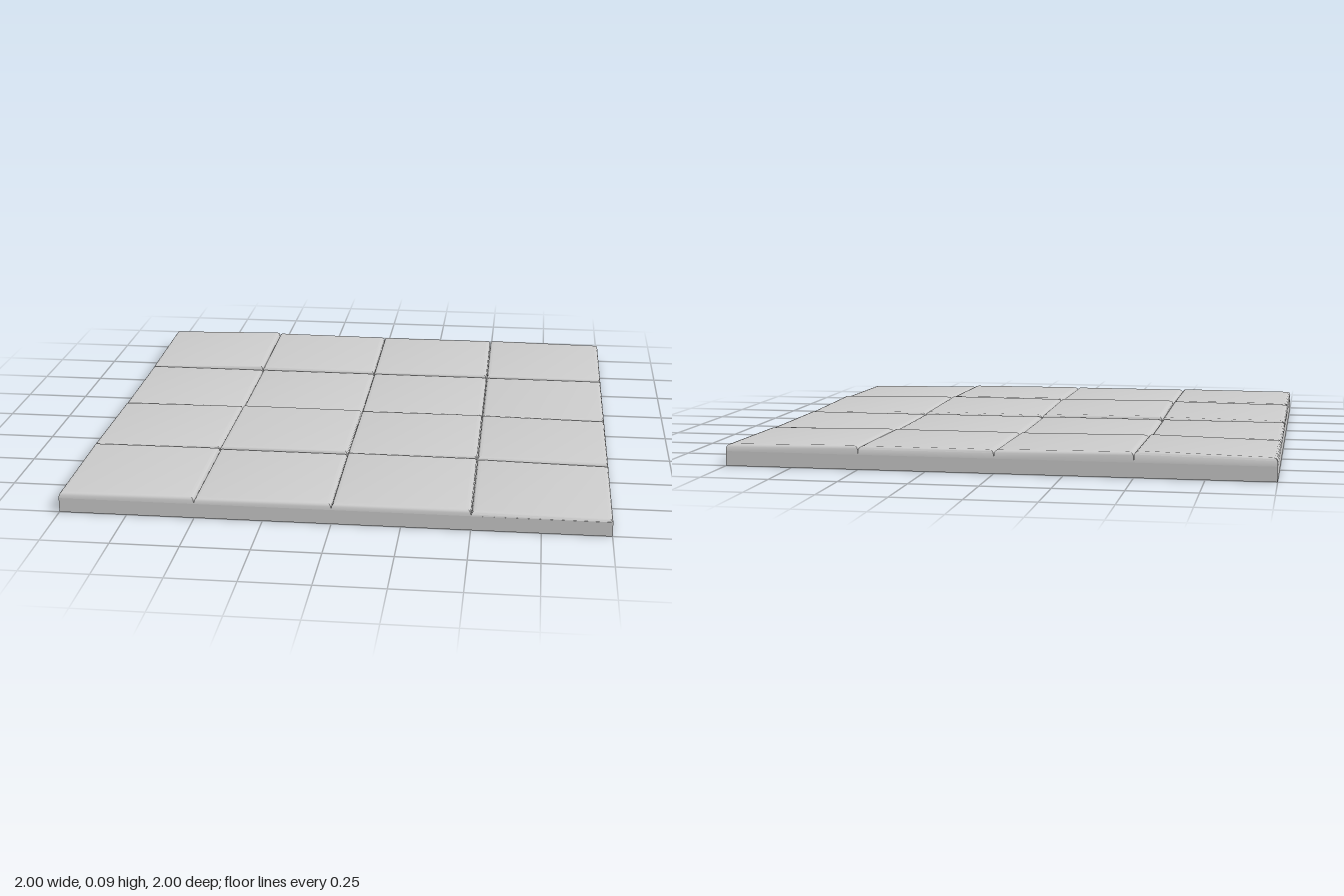
import * as THREE from 'three';
import { toCreasedNormals } from 'three/addons/utils/BufferGeometryUtils.js';

const BASE = 0.054; // height of the groove floor

// Per tile: centre height, rise from centre to its +x edge, rise to its +z edge
const TILES = [
  [[0.084, 0.005, -0.005], [0.084, -0.002, -0.004], [0.082, 0, -0.003], [0.08, -0.003, -0.003]],
  [[0.072, 0, 0], [0.072, 0, 0], [0.072, 0, 0], [0.071, 0, 0]],
  [[0.079, 0.002, 0.003], [0.083, -0.001, 0.003], [0.08, 0.001, 0.004], [0.076, -0.003, 0.004]],
  [[0.08, 0.001, -0.002], [0.078, 0, -0.001], [0.08, -0.001, -0.003], [0.071, -0.004, -0.003]],
];

// Rounded rim profile: half width and drop below the tilted top (null = groove floor)
const RIM = [[0.25, null], [0.2485, 0.011], [0.245, 0.005], [0.24, 0.0015], [0.232, 0]];
const CORNERS = [[-1, 1], [1, 1], [1, -1], [-1, -1]];

function tileGeometry([h, dx, dz]) {
  const pos = [], index = [];
  for (const [half, drop] of RIM) {
    for (const [sx, sz] of CORNERS) {
      const top = h + dx * sx + dz * sz;
      pos.push(sx * half, drop === null ? BASE : Math.max(BASE, top - drop), sz * half);
    }
  }
  for (let r = 0; r < RIM.length - 1; r++) {
    for (let i = 0; i < 4; i++) {
      const a = r * 4 + i, b = r * 4 + (i + 1) % 4;
      index.push(a, b, b + 4, a, b + 4, a + 4);
    }
  }
  const t = (RIM.length - 1) * 4;
  index.push(t, t + 1, t + 2, t, t + 2, t + 3);
  const geo = new THREE.BufferGeometry();
  geo.setAttribute('position', new THREE.Float32BufferAttribute(pos, 3));
  geo.setIndex(index);
  return toCreasedNormals(geo, 0.5);
}

export function createModel() {
  const model = new THREE.Group();
  model.name = 'tiledFloor';
  const material = new THREE.MeshStandardMaterial({ color: 0xcccccc });

  // Slab under the tiles
  const slab = new THREE.Mesh(new THREE.BoxGeometry(2, BASE, 2), material);
  slab.name = 'slab';
  slab.position.y = BASE / 2;
  model.add(slab);

  // Four by four slightly uneven tiles, rows running from back to front
  TILES.forEach((row, r) => row.forEach((spec, c) => {
    const tile = new THREE.Mesh(tileGeometry(spec), material);
    tile.name = `tileRow${r + 1}Column${c + 1}`;
    tile.position.set(-0.75 + c * 0.5, 0, -0.75 + r * 0.5);
    model.add(tile);
  }));
  return model;
}
